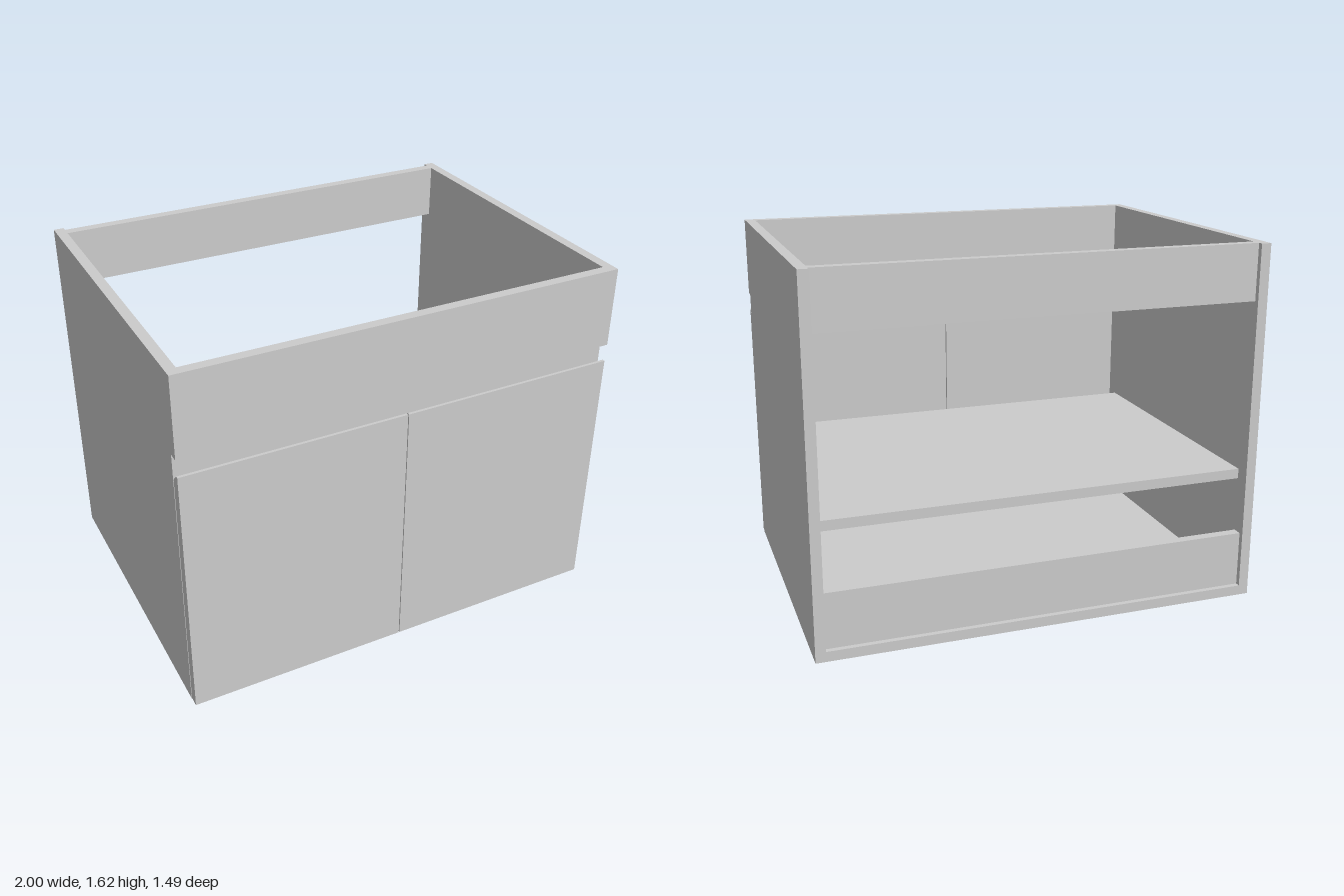
import * as THREE from 'three';

const T = 0.045; // board thickness
const INNER = 1 - T; // half width between the side panels
const H = 1.615;
const BACK = -0.747, CARCASS_FRONT = 0.702, FRONT = 0.747;

const material = new THREE.MeshStandardMaterial({ color: 0xcccccc });

export function createModel() {
  const group = new THREE.Group();
  group.name = 'vanityCabinet';

  const add = (name, geometry) => {
    const mesh = new THREE.Mesh(geometry, material);
    mesh.name = name;
    group.add(mesh);
    return mesh;
  };

  // A board given by its extents on each axis
  const board = (name, [x0, x1], [y0, y1], [z0, z1]) =>
    add(name, new THREE.BoxGeometry(x1 - x0, y1 - y0, z1 - z0))
      .position.set((x0 + x1) / 2, (y0 + y1) / 2, (z0 + z1) / 2);

  // Carcass: sides, bottom and shelf
  const inside = [-INNER, INNER];
  board('leftSide', [INNER, 1], [0, H], [BACK, CARCASS_FRONT]);
  board('rightSide', [-1, -INNER], [0, H], [BACK, CARCASS_FRONT]);
  board('bottom', inside, [0, T], [BACK, CARCASS_FRONT]);
  board('shelf', inside, [0.545, 0.59], [-0.68, 0.636]);

  // Rails: two set slightly into the open back, one behind the finger gap
  const railZ = [-0.724, -0.68];
  board('backTopRail', inside, [H - 0.25, H], railZ);
  board('backBottomRail', inside, [T, 0.295], railZ);
  board('frontRail', inside, [1.095, 1.255], [CARCASS_FRONT - T, CARCASS_FRONT]);

  // Fixed front panel above the gap
  board('frontPanel', [-1, 1], [1.255, H], [CARCASS_FRONT, FRONT]);

  // Doors: side profile (z, y) with a bevelled finger pull along the top
  const profile = new THREE.Shape([
    [CARCASS_FRONT, 0], [FRONT, 0], [FRONT, 1.175], [FRONT - 0.013, 1.175], [CARCASS_FRONT, 1.142],
  ].map(([z, y]) => new THREE.Vector2(z, y)));
  const doorWidth = 0.996;
  for (const [name, x] of [['leftDoor', 0.002], ['rightDoor', -0.998]]) {
    const door = new THREE.ExtrudeGeometry(profile, { depth: doorWidth, bevelEnabled: false });
    door.rotateY(-Math.PI / 2); // profile z becomes world z, extrusion runs to -x
    door.translate(x + doorWidth, 0, 0);
    add(name, door);
  }

  return group;
}
